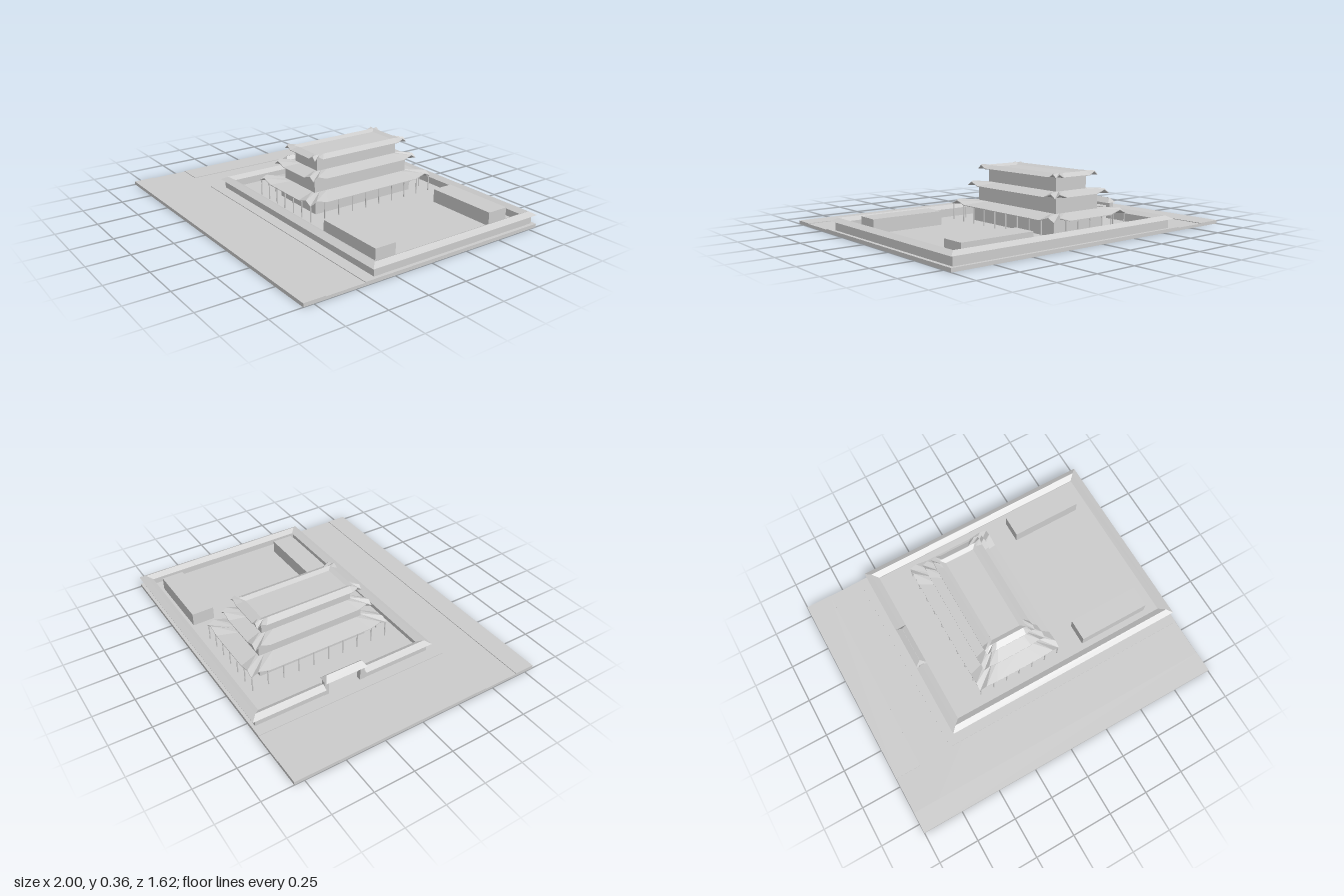
import * as THREE from 'three';

const mat = new THREE.MeshStandardMaterial({ color: 0xcccccc, flatShading: true, side: THREE.DoubleSide });

function add(parent, name, geo) {
  const m = new THREE.Mesh(geo, mat);
  m.name = name;
  parent.add(m);
  return m;
}

// Box given by its limits
function box(parent, name, x0, x1, y0, y1, z0, z1) {
  const m = add(parent, name, new THREE.BoxGeometry(x1 - x0, y1 - y0, z1 - z0));
  m.position.set((x0 + x1) / 2, (y0 + y1) / 2, (z0 + z1) / 2);
  return m;
}

// Skin between successive loops of [x, y, z] points
function loft(loops, closed = true) {
  const p = [];
  for (let i = 0; i + 1 < loops.length; i++) {
    const a = loops[i], b = loops[i + 1], n = a.length;
    for (let j = 0; j < (closed ? n : n - 1); j++) {
      const k = (j + 1) % n;
      p.push(...a[j], ...a[k], ...b[k], ...a[j], ...b[k], ...b[j]);
    }
  }
  const g = new THREE.BufferGeometry();
  g.setAttribute('position', new THREE.Float32BufferAttribute(p, 3));
  g.computeVertexNormals();
  return g;
}

// Rectangular loop, counter-clockwise from above; the eave swells near each corner
const CX = -0.0375, CZ = -0.2125;
function eaveLoop(hx, hz, y, lift, near, far, refX = hx, refZ = hz) {
  const pts = [];
  const corners = [[-1, 1], [1, 1], [1, -1], [-1, -1]];
  corners.forEach(([sx, sz], i) => {
    const [ex, ez] = corners[(i + 1) % 4];
    const len = 2 * (i % 2 ? refZ : refX);
    for (const [d, h] of [[0, 0], [near, 1], [far, 0], [len - far, 0], [len - near, 1]]) {
      const t = d / len;
      pts.push([CX + hx * (sx + (ex - sx) * t), y + lift * h, CZ + hz * (sz + (ez - sz) * t)]);
    }
  });
  return pts;
}

export function createModel() {
  const root = new THREE.Group();
  root.name = 'templeCompound';

  // Ground with slightly raised pavements around an L-shaped road
  box(root, 'ground', -1, 1, 0, 0.017, -0.81, 0.81);
  box(root, 'compoundPavement', -0.63, 1, 0.016, 0.021, -0.81, 0.44);
  box(root, 'sidePavement', -1, -0.84, 0.016, 0.021, -0.81, 0.45);
  box(root, 'frontPavement', -1, 1, 0.016, 0.021, 0.68, 0.81);

  // Perimeter wall with tiled coping, open at the gate
  const path = [
    [-0.545, -0.08, -1, 0], [-0.545, 0.357, -1, 1], [0.965, 0.357, 1, 1],
    [0.965, -0.777, 1, -1], [-0.545, -0.777, -1, -1], [-0.545, -0.35, -1, 0],
  ];
  const section = [[0.013, 0.018], [0.013, 0.075], [0.035, 0.075], [0, 0.095],
    [-0.035, 0.075], [-0.013, 0.075], [-0.013, 0.018]];
  add(root, 'perimeterWall', loft(section.map(([o, y]) =>
    path.map(([x, z, ox, oz]) => [x + o * ox, y, z + o * oz])), false));

  // Gate: two piers, a lintel and a small hipped roof
  const gate = new THREE.Group();
  gate.name = 'gate';
  root.add(gate);
  for (const z of [-0.335, -0.095])
    box(gate, 'gatePier', -0.56, -0.53, 0.018, 0.122, z - 0.015, z + 0.015);
  box(gate, 'gateLintel', -0.555, -0.535, 0.1, 0.122, -0.33, -0.1);
  const rect = (x0, x1, z0, z1, y) => [[x0, y, z1], [x1, y, z1], [x1, y, z0], [x0, y, z0]];
  add(gate, 'gateRoof', loft([
    rect(-0.545, -0.545, -0.3, -0.12, 0.12), rect(-0.58, -0.513, -0.352, -0.075, 0.12),
    rect(-0.546, -0.545, -0.33, -0.095, 0.15)]));

  // Side halls
  box(root, 'sideHall', 0.405, 0.865, 0.018, 0.104, -0.7, -0.56);
  box(root, 'sideHall', 0.405, 0.865, 0.018, 0.104, 0.135, 0.272);

  // Main hall storeys: half width, half depth, bottom, top
  const hall = new THREE.Group();
  hall.name = 'mainHall';
  root.add(hall);
  const storeys = [[0.19, 0.365, 0.018, 0.125], [0.16, 0.35, 0.12, 0.24], [0.116, 0.302, 0.235, 0.345]];
  for (const [hx, hz, y0, y1] of storeys)
    box(hall, 'storey', CX - hx, CX + hx, y0, y1, CZ - hz, CZ + hz);

  // Lower roofs: swelling eaves rising to the wall of the storey above
  const roofs = [
    { o: [0.278, 0.463], i: [0.16, 0.35], u: [0.19, 0.365], y: 0.12, n: 0.045, f: 0.12 },
    { o: [0.209, 0.395], i: [0.116, 0.302], u: [0.16, 0.35], y: 0.235, n: 0.035, f: 0.095 },
  ];
  for (const { o, i, u, y, n, f } of roofs)
    add(hall, 'eaveRoof', loft([
      eaveLoop(...u, y, 0, n, f, ...o), eaveLoop(...o, y, 0.022, n, f),
      eaveLoop(...o, y + 0.004, 0.022, n, f), eaveLoop(...i, y + 0.026, 0, n, f, ...o)]));

  // Top roof: ridged rim around a flat deck
  const top = [0.161, 0.35];
  add(hall, 'topRoof', loft([
    eaveLoop(0.116, 0.302, 0.34, 0, 0.025, 0.06, ...top),
    eaveLoop(...top, 0.34, 0.02, 0.025, 0.06),
    eaveLoop(...top, 0.344, 0.02, 0.025, 0.06),
    eaveLoop(0.122, 0.313, 0.364, 0, 0.025, 0.06, ...top),
    eaveLoop(0.092, 0.284, 0.35, 0, 0.025, 0.06, ...top)]));
  box(hall, 'topDeck', CX - 0.094, CX + 0.094, 0.338, 0.351, CZ - 0.286, CZ + 0.286);

  // Colonnade around the ground storey
  const hx = 0.272, hz = 0.457, nx = 6, nz = 9;
  const column = (x, z) => {
    const m = add(hall, 'column', new THREE.CylinderGeometry(0.004, 0.004, 0.108, 8));
    m.position.set(CX + x, 0.071, CZ + z);
  };
  for (const s of [-1, 1]) {
    for (let i = 0; i <= nx; i++) column(-hx + (2 * hx * i) / nx, s * hz);
    for (let i = 1; i < nz; i++) column(s * hx, -hz + (2 * hz * i) / nz);
  }
  return root;
}
